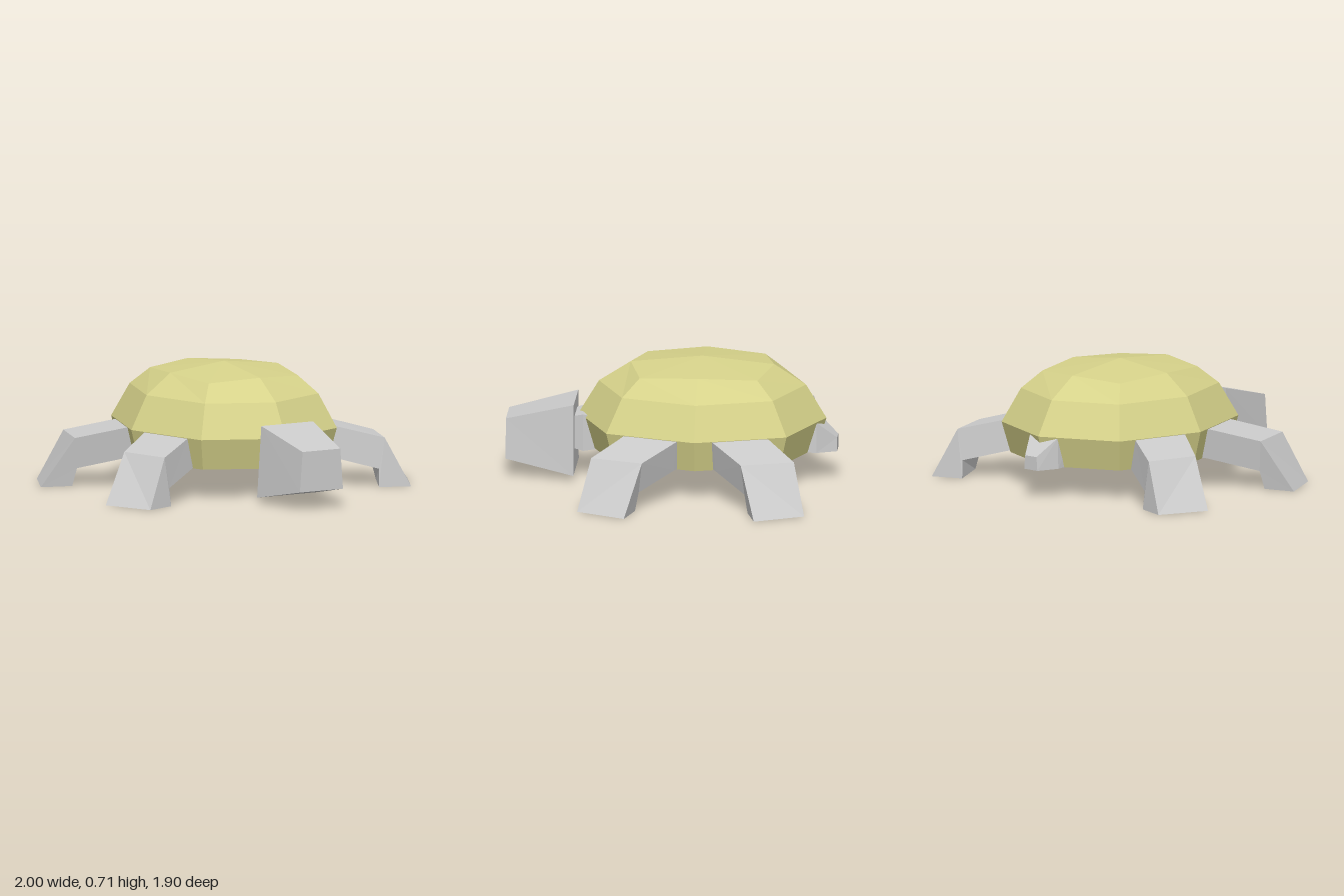
import * as THREE from 'three';

const grey = new THREE.MeshStandardMaterial({ color: 0xcccccc, flatShading: true });
const shellColour = new THREE.MeshStandardMaterial({ color: 0xd6d28a, flatShading: true });

// Skins a row of cross-sections and closes both ends; tip raises the last cap to a point
function loft(name, sections, material, tip) {
  const tris = [];
  const n = sections[0].length;
  const middle = (s) => [0, 1, 2].map((k) => s.reduce((sum, p) => sum + p[k], 0) / n);
  const first = sections[0];
  const last = sections[sections.length - 1];
  const startCentre = middle(first);
  const endCentre = tip || middle(last);
  for (let i = 0; i < n; i++) {
    const j = (i + 1) % n;
    for (let s = 0; s + 1 < sections.length; s++) {
      const a = sections[s], b = sections[s + 1];
      tris.push([a[i], a[j], b[j]], [a[i], b[j], b[i]]);
    }
    tris.push([startCentre, first[j], first[i]], [endCentre, last[i], last[j]]);
  }
  // A negative enclosed volume means the faces point inwards
  const v = (p) => new THREE.Vector3(...p);
  const volume = tris.reduce((sum, [a, b, c]) => sum + v(a).dot(v(b).cross(v(c))), 0);
  if (volume < 0) tris.forEach((t) => t.reverse());
  const geometry = new THREE.BufferGeometry();
  geometry.setAttribute('position', new THREE.Float32BufferAttribute(tris.flat(2), 3));
  geometry.computeVertexNormals();
  const mesh = new THREE.Mesh(geometry, material);
  mesh.name = name;
  return mesh;
}

// Upright four-sided section at depth z
const section = (z, y0, y1, wBottom, wTop) => [
  [-wBottom, y0, z], [wBottom, y0, z], [wTop, y1, z], [-wTop, y1, z],
];

// Eight-sided shell ring; diagonal corners can sit lower than the others
const shellZ = -0.175;
function shellRing(scale, y, diagonalX = 0.45, diagonalZ = 0.52, diagonalY = y) {
  const ring = [];
  for (let i = 0; i < 8; i++) {
    const a = (i * Math.PI) / 4;
    const diagonal = i % 2 === 1;
    const sx = Math.round(Math.cos(a)), sz = Math.round(Math.sin(a));
    ring.push([
      sx * scale * (diagonal ? diagonalX : 0.615),
      diagonal ? diagonalY : y,
      shellZ + sz * scale * (diagonal ? diagonalZ : 0.715),
    ]);
  }
  return ring;
}

// Left front leg sections: top rear, top front, bottom front, bottom rear
const legSections = [
  [[0.50, 0.352, -0.13], [0.40, 0.352, 0.18], [0.37, 0.19, 0.18], [0.47, 0.19, -0.12]],
  [[0.59, 0.352, -0.07], [0.48, 0.352, 0.24], [0.45, 0.175, 0.24], [0.56, 0.175, -0.055]],
  [[0.825, 0.285, 0.11], [0.73, 0.285, 0.41], [0.695, 0.105, 0.405], [0.80, 0.105, 0.13]],
  [[1, 0, 0.2], [0.865, 0, 0.48], [0.69, 0, 0.415], [0.82, 0, 0.15]],
];

export function createModel() {
  const model = new THREE.Group();
  model.name = 'turtle';

  // Domed shell with its inset underside
  model.add(loft('shell', [
    shellRing(0.925, 0.175),
    shellRing(1, 0.355),
    shellRing(0.836, 0.55),
    shellRing(0.58, 0.668, 0.51, 0.585, 0.648),
  ], shellColour, [0, 0.71, shellZ]));

  // Head, neck and tail
  model.add(loft('head', [
    section(0.555, 0.03, 0.445, 0.2, 0.172),
    section(0.95, 0.11, 0.345, 0.143, 0.125),
  ], grey));
  model.add(loft('neck', [
    section(0.36, 0.18, 0.35, 0.11, 0.11),
    section(0.505, 0.158, 0.375, 0.115, 0.115),
    section(0.56, 0.17, 0.362, 0.1, 0.1),
  ], grey));
  model.add(loft('tail', [
    section(-0.72, 0.178, 0.352, 0.11, 0.11),
    section(-0.84, 0.173, 0.352, 0.11, 0.105),
    section(-0.955, 0.17, 0.25, 0.05, 0.043),
  ], grey));

  // Four legs, mirrored across the middle of the shell
  for (const side of [1, -1]) {
    for (const end of [1, -1]) {
      const name = (side > 0 ? 'left' : 'right') + (end > 0 ? 'FrontLeg' : 'BackLeg');
      const sections = legSections.map((s) => s.map(([x, y, z]) =>
        [x * side, y, shellZ + (z - shellZ) * end]));
      model.add(loft(name, sections, grey));
    }
  }
  return model;
}
